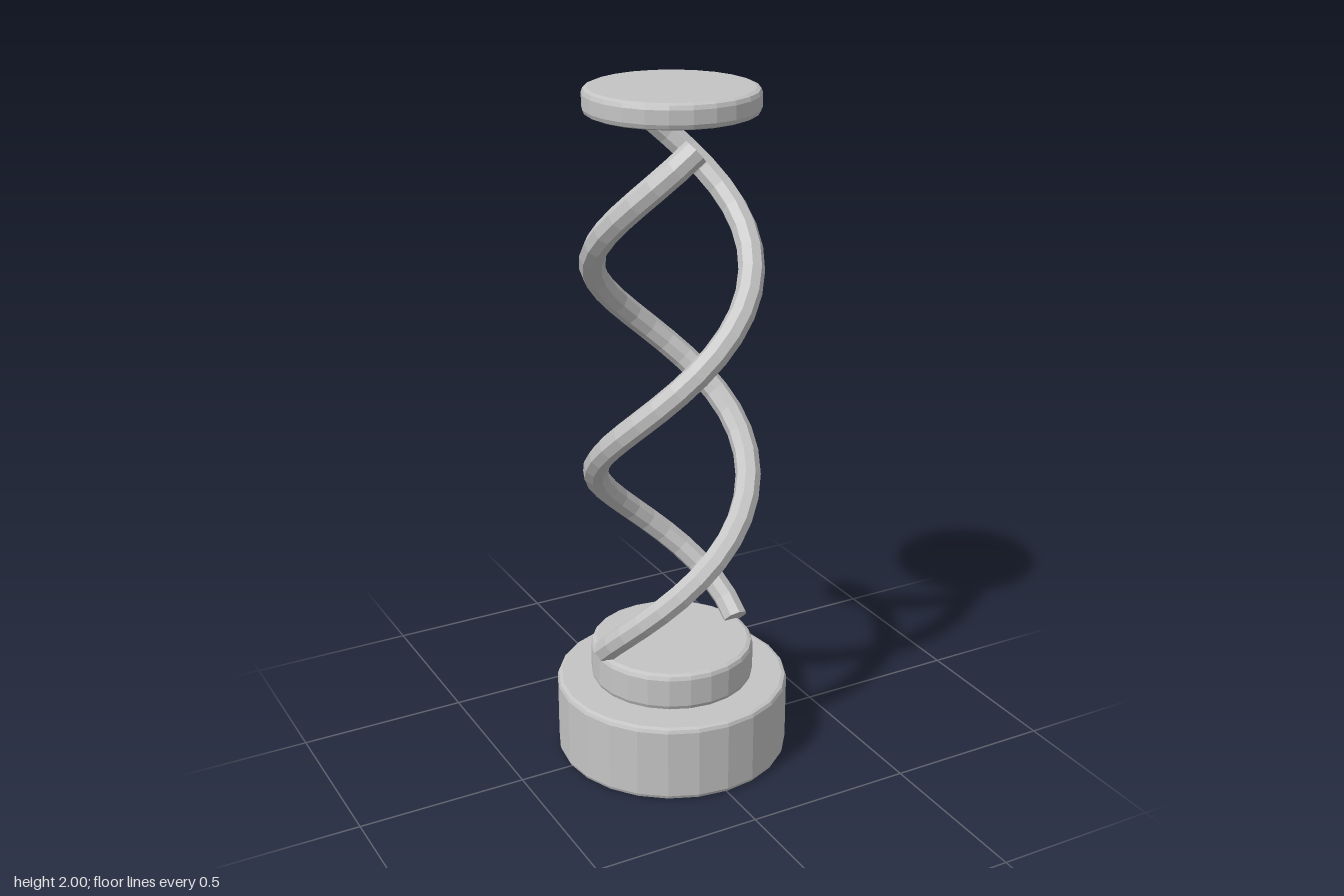
import * as THREE from 'three';

const SIDES = 24;      // facets around the discs
const TUBE_SIDES = 8;  // facets around each strand
const TUBE_STEPS = 32; // segments along each strand

// Helix that starts at angle 0 on the x axis and climbs as it turns
class Helix extends THREE.Curve {
  constructor(radius, y0, y1, turns, side) {
    super();
    Object.assign(this, { radius, y0, y1, turns, side });
  }
  getPoint(t, target = new THREE.Vector3()) {
    const a = t * this.turns * Math.PI * 2;
    return target.set(
      -Math.cos(a) * this.radius * this.side,
      this.y0 + (this.y1 - this.y0) * t,
      Math.sin(a) * this.radius * this.side
    );
  }
}

// Disc with softly bevelled top and bottom rims
function discGeometry(radius, y0, y1, bevel) {
  const points = [new THREE.Vector2(0, y0)];
  const steps = 2;
  for (const [cy, start] of [[y0 + bevel, -Math.PI / 2], [y1 - bevel, 0]]) {
    for (let i = 0; i <= steps; i++) {
      const a = start + (i / steps) * Math.PI / 2;
      points.push(new THREE.Vector2(radius - bevel + Math.cos(a) * bevel, cy + Math.sin(a) * bevel));
    }
  }
  points.push(new THREE.Vector2(0, y1));
  return new THREE.LatheGeometry(points, SIDES);
}

// Flat end face made from the first or last ring of a tube
function capGeometry(tube, atEnd) {
  const pos = tube.attributes.position;
  const first = atEnd ? TUBE_STEPS * (TUBE_SIDES + 1) : 0;
  const corner = (i) => new THREE.Vector3().fromBufferAttribute(pos, first + i);
  const points = [];
  for (let i = 1; i < TUBE_SIDES - 1; i++) {
    if (atEnd) points.push(corner(0), corner(i + 1), corner(i));
    else points.push(corner(0), corner(i), corner(i + 1));
  }
  const cap = new THREE.BufferGeometry().setFromPoints(points);
  cap.computeVertexNormals();
  return cap;
}

export function createModel() {
  const model = new THREE.Group();
  model.name = 'doubleHelixStand';

  const grey = new THREE.MeshStandardMaterial({ color: 0xc4c4c4, flatShading: true });
  grey.name = 'grey';

  const add = (parent, name, geometry) => {
    const mesh = new THREE.Mesh(geometry, grey);
    mesh.name = name;
    parent.add(mesh);
  };

  // Stacked base and floating top disc
  add(model, 'base', discGeometry(0.345, 0, 0.235, 0.014));
  add(model, 'lowerDisc', discGeometry(0.242, 0.235, 0.35, 0.016));
  add(model, 'topDisc', discGeometry(0.242, 1.93, 2, 0.016));

  // Two strands, half a turn apart
  for (const [name, side] of [['rightStrand', 1], ['leftStrand', -1]]) {
    const strand = new THREE.Group();
    strand.name = name;
    const path = new Helix(0.22, 0.36, 1.873, 1.217, side);
    const tube = new THREE.TubeGeometry(path, TUBE_STEPS, 0.037, TUBE_SIDES, false);
    add(strand, name + 'Tube', tube);
    add(strand, name + 'BottomCap', capGeometry(tube, false));
    add(strand, name + 'TopCap', capGeometry(tube, true));
    model.add(strand);
  }

  return model;
}
